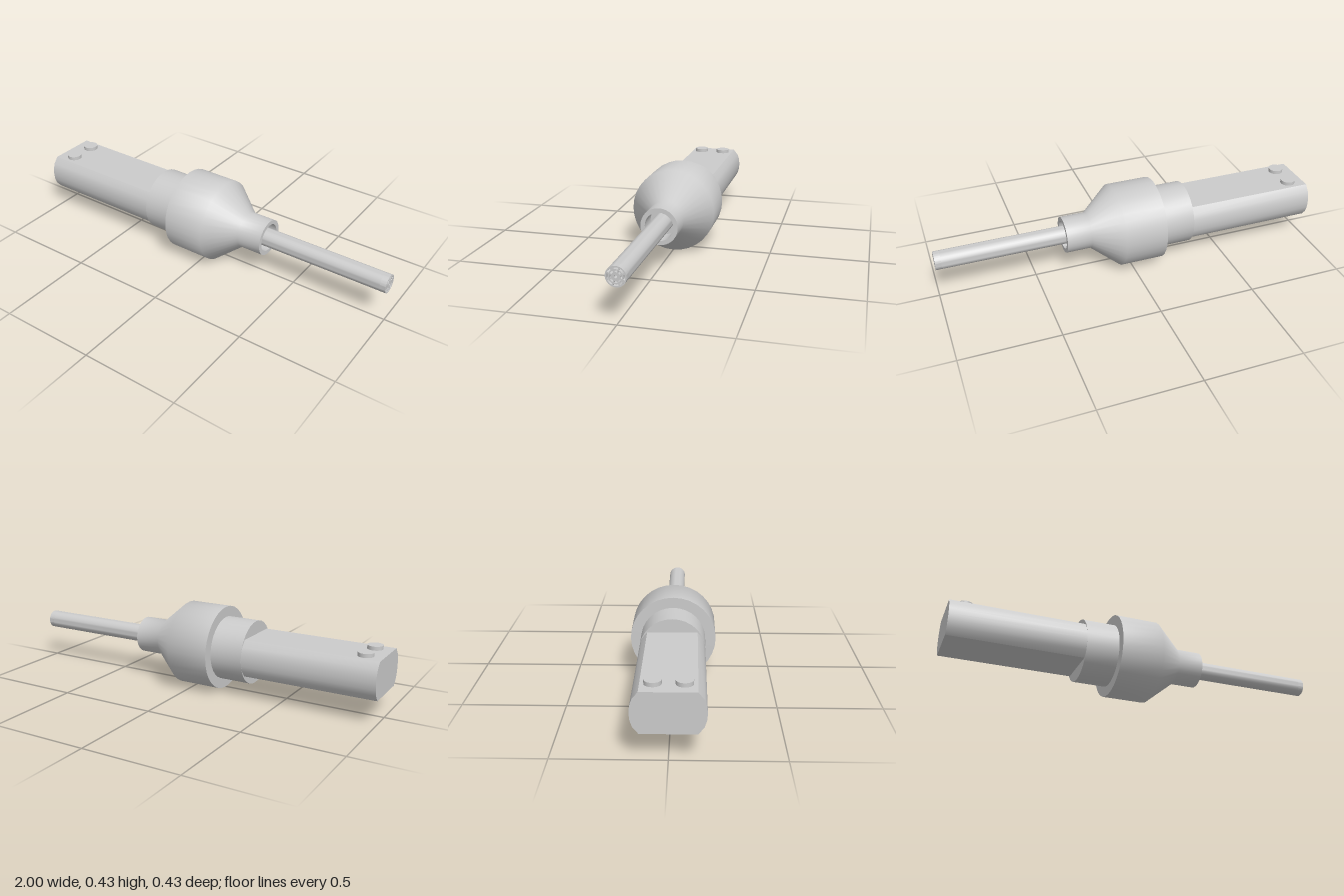
import * as THREE from 'three';
import { toCreasedNormals } from 'three/addons/utils/BufferGeometryUtils.js';

const SEGMENTS = 32;

export function createModel() {
  const group = new THREE.Group();
  const material = new THREE.MeshStandardMaterial({ color: 0xcccccc });
  // everything is built around one horizontal axis
  const assembly = new THREE.Group();
  assembly.name = 'assembly';
  assembly.position.y = 0.216;
  group.add(assembly);

  const add = (name, geometry) => {
    const mesh = new THREE.Mesh(geometry, material);
    mesh.name = name;
    assembly.add(mesh);
    return mesh;
  };

  // turned part along x, profile as [x, radius]
  const turned = (name, profile, crease = 0.8) => {
    const points = profile.map(([x, r]) => new THREE.Vector2(r, x));
    const geometry = new THREE.LatheGeometry(points, SEGMENTS);
    geometry.rotateZ(-Math.PI / 2);
    return add(name, toCreasedNormals(geometry, crease));
  };

  // cross-section extruded along x
  const extruded = (name, shape, start, end) => {
    const geometry = new THREE.ExtrudeGeometry(shape, {
      depth: end - start, bevelEnabled: false, curveSegments: SEGMENTS,
    });
    geometry.rotateY(Math.PI / 2);
    geometry.translate(start, 0, 0);
    return add(name, toCreasedNormals(geometry, 0.5));
  };

  // handle: round sides, flat top and bottom
  const side = [[0.122, -0.094], [0.148, -0.062], [0.158, -0.032], [0.161, 0],
    [0.158, 0.032], [0.148, 0.062], [0.122, 0.094]];
  const outline = [...side, ...side.map(([z, y]) => [-z, -y])];
  extruded('handle', new THREE.Shape(outline.map(([z, y]) => new THREE.Vector2(z, y))), -1, -0.31);

  // two buttons on the flat top
  for (const z of [-0.0665, 0.0665]) {
    add('button', new THREE.CylinderGeometry(0.038, 0.038, 0.03, SEGMENTS))
      .position.set(-0.915, 0.098, z);
  }

  // collar between handle and body
  turned('collar', [[-0.32, 0], [-0.32, 0.162], [-0.14, 0.162]]);

  // bulged body tapering to a hollow neck
  turned('body', [[-0.15, 0], [-0.15, 0.215], [0.07, 0.215], [0.215, 0.094],
    [0.345, 0.094], [0.345, 0.072], [0.24, 0.072], [0.24, 0]]);

  // long rod coming out of the neck
  turned('rod', [[0.23, 0.047], [0.97, 0.047], [0.97, 0]]);

  // perforated rod tip: centre hole and two rings of curved slots
  const tip = new THREE.Shape().absarc(0, 0, 0.047, 0, Math.PI * 2);
  tip.holes.push(new THREE.Path().absarc(0, 0, 0.007, 0, Math.PI * 2, true));
  for (const [inner, outer, span] of [[0.02, 0.028, 0.55], [0.033, 0.041, 0.62]]) {
    for (let i = 0; i < 8; i++) {
      const a = i * Math.PI / 4;
      const slot = new THREE.Path();
      slot.absarc(0, 0, outer, a - span / 2, a + span / 2, false);
      slot.absarc(0, 0, inner, a + span / 2, a - span / 2, true);
      slot.closePath();
      tip.holes.push(slot);
    }
  }
  extruded('perforatedTip', tip, 0.97, 1);

  return group;
}
